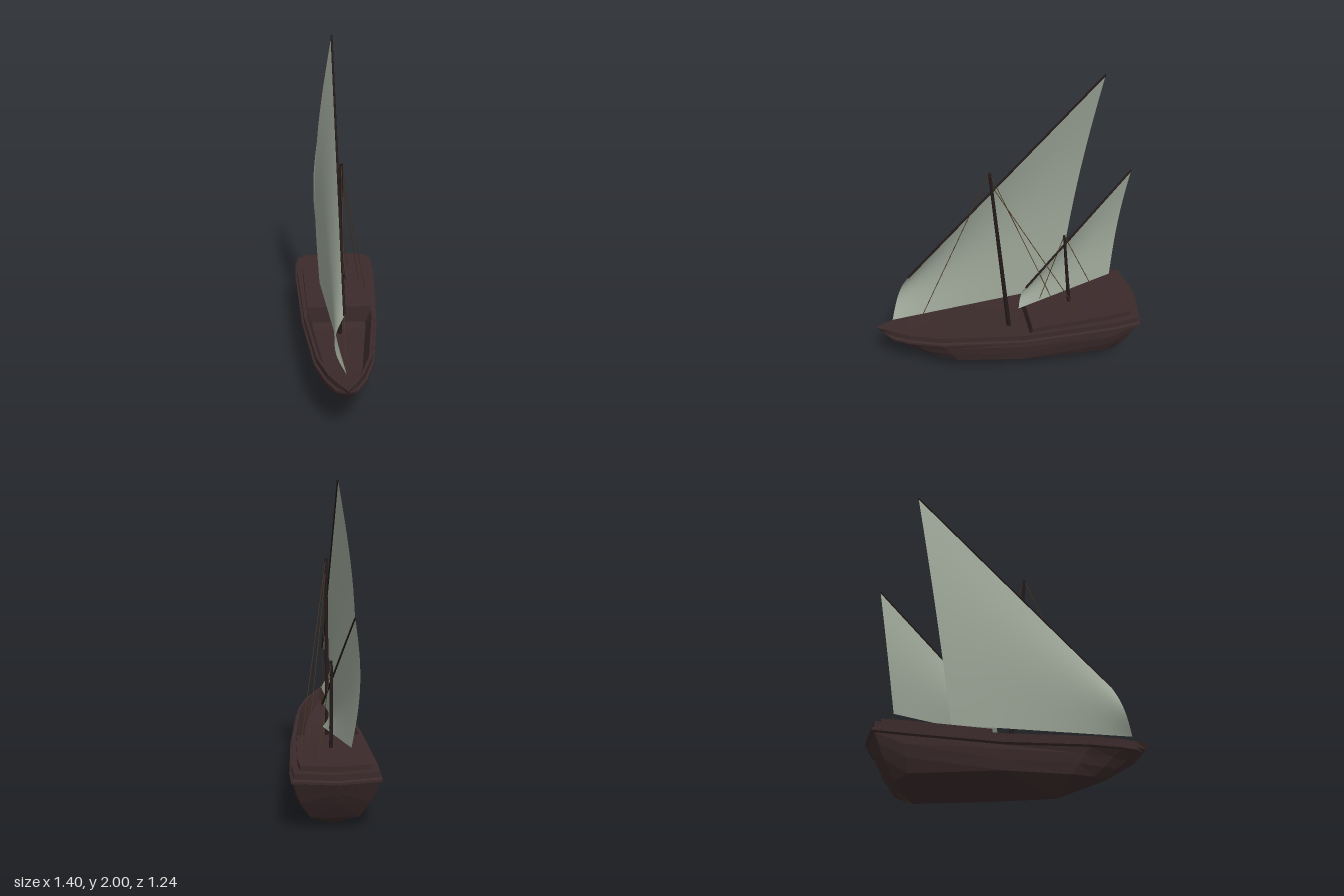
import * as THREE from 'three';

const wood = new THREE.MeshStandardMaterial({ color: 0x3b2a2b, flatShading: true });
wood.name = 'hull wood';
const spar = new THREE.MeshStandardMaterial({ color: 0x241a1a });
spar.name = 'dark spar wood';
const rope = new THREE.MeshStandardMaterial({ color: 0x4a3820 });
rope.name = 'rope';
const canvas = new THREE.MeshStandardMaterial({ color: 0x9ca597, side: THREE.DoubleSide });
canvas.name = 'grey green canvas';

const V = (x, y, z) => new THREE.Vector3(x, y, z);

function add(parent, name, geometry, material) {
  const mesh = new THREE.Mesh(geometry, material);
  mesh.name = name;
  parent.add(mesh);
  return mesh;
}

// Round pole between two points
function pole(parent, name, a, b, rA, rB, material, sides = 8) {
  const dir = b.clone().sub(a);
  const mesh = add(parent, name, new THREE.CylinderGeometry(rB, rA, dir.length(), sides), material);
  mesh.position.copy(a).addScaledVector(dir, 0.5);
  mesh.quaternion.setFromUnitVectors(V(0, 1, 0), dir.normalize());
}

// Lofts lengthwise lines of [along, halfWidth, height], mirrored to both sides
function loftHull(lines) {
  const pos = [];
  for (const side of [1, -1]) {
    const at = (i, j) => [lines[j][i][0], lines[j][i][2], side * lines[j][i][1]];
    for (let j = 0; j < lines.length - 1; j++) {
      for (let i = 0; i < lines[0].length - 1; i++) {
        const a = at(i, j), b = at(i + 1, j), c = at(i + 1, j + 1), d = at(i, j + 1);
        pos.push(...(side > 0 ? [a, b, c, a, c, d] : [a, c, b, a, d, c]).flat());
      }
    }
  }
  const g = new THREE.BufferGeometry();
  g.setAttribute('position', new THREE.Float32BufferAttribute(pos, 3));
  g.computeVertexNormals();
  return g;
}

function hullGeometry() {
  // Stations run from the stem (first) to the middle of the transom (last)
  const keel = [[-0.39, 0, 0.06], [-0.385, 0, 0.057], [-0.38, 0, 0.054], [-0.375, 0, 0.053],
    [-0.05, 0, 0.028], [0.42, 0, 0.003], [0.445, 0, 0], [0.45, 0, 0]];
  const lowChine = [[-0.67, 0, 0.175], [-0.64, 0.033, 0.17], [-0.58, 0.075, 0.165], [-0.45, 0.135, 0.155],
    [-0.05, 0.197, 0.147], [0.48, 0.188, 0.118], [0.55, 0.14, 0.082], [0.557, 0, 0.08]];
  const bilge = [[-0.755, 0, 0.227], [-0.715, 0.038, 0.225], [-0.64, 0.084, 0.222], [-0.485, 0.147, 0.218],
    [-0.05, 0.21, 0.208], [0.49, 0.224, 0.2], [0.612, 0.197, 0.196], [0.634, 0, 0.196]];
  const highChine = [[-0.835, 0, 0.28], [-0.78, 0.042, 0.28], [-0.69, 0.09, 0.28], [-0.52, 0.152, 0.275],
    [-0.05, 0.218, 0.265], [0.5, 0.242, 0.27], [0.645, 0.226, 0.28], [0.68, 0, 0.28]];
  const sheer = [[-0.936, 0, 0.4], [-0.84, 0.053, 0.393], [-0.74, 0.105, 0.387], [-0.55, 0.162, 0.378],
    [-0.05, 0.218, 0.358], [0.505, 0.245, 0.385], [0.67, 0.241, 0.4], [0.71, 0, 0.4]];
  // Copy of the sheer line moved outward and down, following the rake of the stem
  const offset = (out, down) => sheer.map(([s, w, y], i) =>
    [s + (i === 0 ? down * 0.85 : i > 5 ? out : 0), w === 0 ? 0 : w + out, y - down]);
  // Sunken fore deck inside sloping bulwarks, flush with the rail further aft
  const deckEdge = sheer.map(([s, w, y], i) =>
    [i === 0 ? s + 0.06 : i > 5 ? s - 0.03 : s, Math.max(0, w - 0.055), y - [0.03, 0.06, 0.08, 0.095, 0.09, 0, 0, 0][i]]);
  const rimInner = sheer.map(([s, w, y], i) =>
    [i === 0 ? s + 0.02 : i > 5 ? s - 0.015 : s, Math.max(0, w - 0.018), y]);
  return loftHull([keel, lowChine, bilge, highChine,
    offset(-0.003, 0.065), offset(0.014, 0.057), offset(0.014, 0.042), offset(0, 0.036),
    sheer, rimInner, deckEdge, deckEdge.map(([s, , y]) => [s, 0, y])]);
}

// Raised after deck with a sloping top
function afterDeckGeometry() {
  const plan = new THREE.Shape([[0.01, -0.198], [0.5, -0.212], [0.635, -0.203], [0.67, 0],
    [0.635, 0.203], [0.5, 0.212], [0.01, 0.198]].map(([x, y]) => new THREE.Vector2(x, y)));
  const g = new THREE.ExtrudeGeometry(plan, { depth: 0.1, bevelEnabled: false }).rotateX(-Math.PI / 2);
  const p = g.attributes.position;
  for (let i = 0; i < p.count; i++) {
    p.setY(i, p.getY(i) > 0.05 ? 0.39 + 0.064 * (p.getX(i) - 0.01) : 0.26);
  }
  g.computeVertexNormals();
  return g;
}

// Four-cornered sail, bellied between yard and foot, curling further at luff and leech
function sailGeometry(low, peak, tack, clew, belly, curl) {
  const g = new THREE.PlaneGeometry(1, 1, 20, 20);
  const p = g.attributes.position;
  for (let i = 0; i < p.count; i++) {
    const u = p.getX(i) + 0.5, v = 0.5 - p.getY(i);
    const q = low.clone().lerp(peak, u).lerp(tack.clone().lerp(clew, u), v);
    q.z -= Math.sin(Math.PI * v) * (belly + curl * (2 * u - 1) ** 4);
    p.setXYZ(i, q.x, q.y, q.z);
  }
  g.computeVertexNormals();
  return g;
}

export function createModel() {
  const model = new THREE.Group();
  model.name = 'sailingBoat';
  // The boat is built along x (bow at -x) and turned across the frame
  const boat = new THREE.Group();
  boat.name = 'boat';
  boat.rotation.y = THREE.MathUtils.degToRad(40);
  model.add(boat);

  add(boat, 'hull', hullGeometry(), wood).position.z = 0.02;
  add(boat, 'afterDeck', afterDeckGeometry(), wood).position.z = 0.02;

  // Masts
  const mainTop = V(-0.205, 1.445, 0.021), mizzenTop = V(0.245, 0.925, 0.02);
  pole(boat, 'mainMast', V(-0.1, 0.24, 0.02), mainTop, 0.014, 0.009, spar);
  pole(boat, 'mizzenMast', V(0.286, 0.38, 0.024), mizzenTop, 0.012, 0.008, spar);

  // Yards and their sails
  const mainLow = V(-0.713, 0.75, 0.01), mainPeak = V(0.463, 1.997, 0);
  const mainTack = V(-0.828, 0.44, 0.017), mainClew = V(0.237, 0.44, -0.09);
  pole(boat, 'mainYard', mainLow, mainPeak, 0.007, 0.006, spar);
  add(boat, 'mainSail', sailGeometry(mainLow, mainPeak, mainTack, mainClew, 0.05, 0.011), canvas);

  const mizzenLow = V(0.001, 0.587, 0.056), mizzenPeak = V(0.673, 1.28, -0.078);
  const mizzenTack = V(-0.045, 0.425, 0.054), mizzenClew = V(0.567, 0.505, -0.07);
  pole(boat, 'mizzenYard', mizzenLow, mizzenPeak, 0.007, 0.006, spar);
  add(boat, 'mizzenSail', sailGeometry(mizzenLow, mizzenPeak, mizzenTack, mizzenClew, 0.03, 0.008), canvas);

  // Stays and shrouds
  const mainHitch = V(-0.197, 1.36, 0.024);
  const stays = [
    [mainTop, V(-0.69, 0.34, 0.02)],
    [mainTop, V(0.205, 0.4, 0.198)],
    [mainHitch, V(0.321, 0.41, 0.165)],
    [mizzenTop, V(0.474, 0.415, 0.11)],
    [mizzenTop, V(0.075, 0.39, 0.02)],
  ];
  stays.forEach(([a, b]) => pole(boat, 'stay', a, b, 0.0024, 0.0024, rope, 5));

  // Sheets holding the sail corners
  const sheets = [
    [mainTack, V(-0.85, 0.37, 0.02)],
    [mainClew, V(0.25, 0.4, -0.1)],
    [mizzenTack, V(-0.02, 0.27, 0.054)],
    [mizzenClew, V(0.57, 0.42, -0.09)],
  ];
  sheets.forEach(([a, b]) => pole(boat, 'sheet', a, b, 0.0012, 0.0012, rope, 5));

  return model;
}
